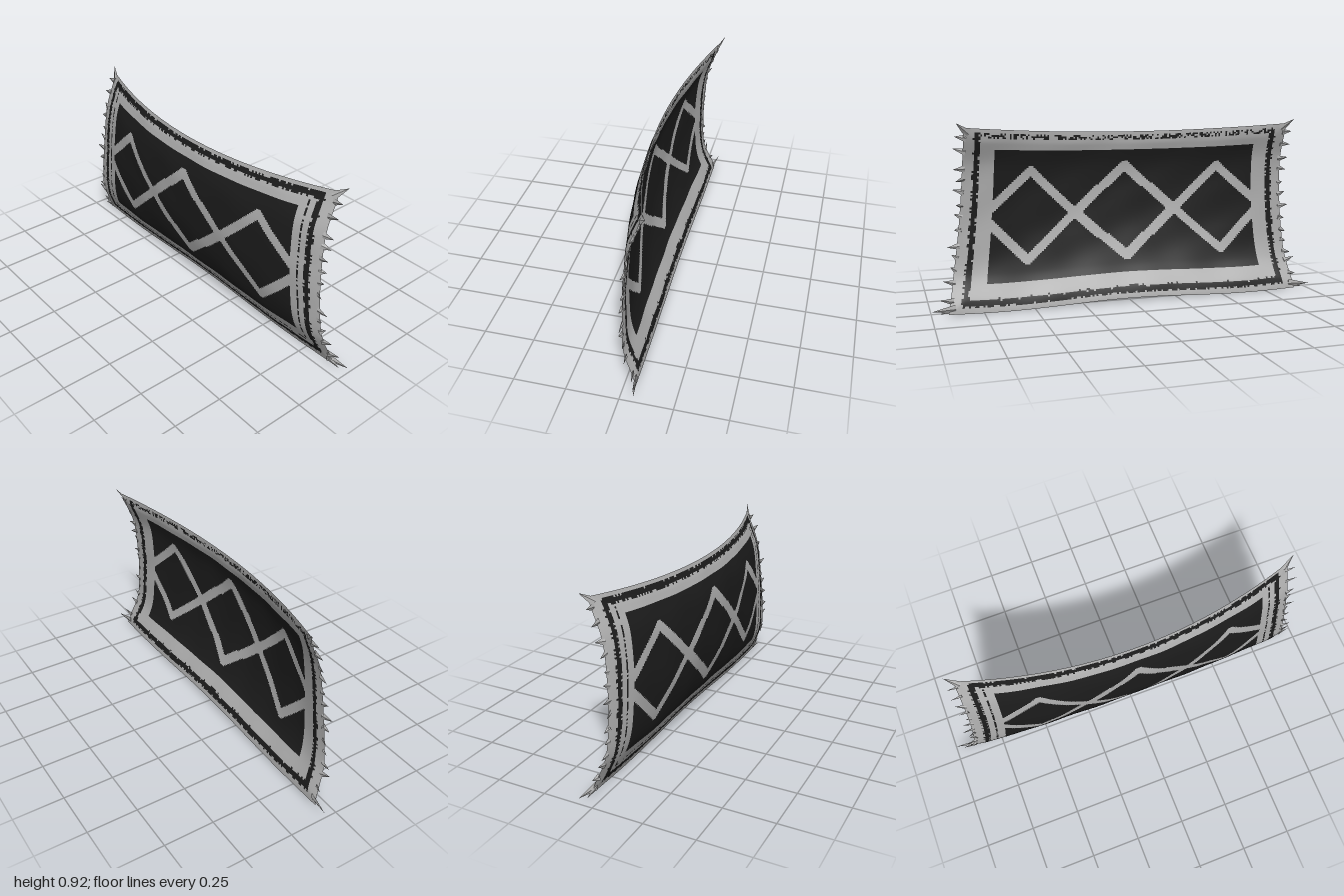
import * as THREE from 'three';

const lightWool = new THREE.MeshStandardMaterial({ color: 0xb0b0b0 });
lightWool.name = 'light wool';
const darkWool = new THREE.MeshStandardMaterial({ color: 0x1c1c1c });
darkWool.name = 'dark wool';

const NU = 184, NV = 100;

// Repeatable noise in 0..1
const noise = (a, b) => {
  const s = Math.sin(a * 12.9898 + b * 78.233) * 43758.5453;
  return s - Math.floor(s);
};

// Depth along the height, down the middle and down the two short edges
const depthCurve = (depths) =>
  new THREE.SplineCurve(depths.map((z, i) => new THREE.Vector2(i, z)));
const middleDepth = depthCurve([-0.05, 0.035, 0.08, 0.097, 0.092, 0.05]);
const edgeDepth = depthCurve([-0.055, 0.005, 0.012, 0.003, -0.02, -0.082]);

// Point on the billowing cloth: u is -1..1 across, v is 0..1 upward
function clothPoint(u, v, side = 0) {
  const bottom = 0.01 + 0.009 * Math.cos(4.5 * u);
  const top = 0.862 + 0.036 * u * u;
  const x = u * (0.83 + 0.09 * (1 - v) ** 2);
  const zm = middleDepth.getPoint(v).y, ze = edgeDepth.getPoint(v).y;
  const rim = Math.min(1, (1 - Math.abs(u)) * 14, v * 14, (1 - v) * 14);
  const wrinkle = 0.002 * Math.sin(17 * u + 9 * v) * Math.sin(13 * v - 5 * u);
  const z = zm + (ze - zm) * u * u + (side * 0.008 + wrinkle) * Math.max(0, rim);
  return new THREE.Vector3(x, bottom + v * (top - bottom), z);
}

// Diamond outline, du and dv measured from its centre
const onDiamond = (du, dv, a, b) =>
  Math.abs(Math.abs(du) / a + Math.abs(dv) / b - 1) < 0.14 && Math.abs(dv) < b * 1.1;

// Woven pattern: true where the wool is dark
function isDark(u, v, i, j, side) {
  const au = Math.abs(u);
  if (au < 0.82 && v > 0.145 && v < 0.895) {
    return !(onDiamond(u, v - 0.52, 0.315, 0.272) ||
      onDiamond(au - 0.59, v - 0.52, 0.275, 0.255));
  }
  const n = noise(i, j);
  // Ragged outer band
  const ragged = 0.011 + 0.011 * n;
  if (v > 0.04 && v < 0.975 && Math.abs(au - 0.922) < ragged) return true;
  if (au < 0.93) {
    if (Math.abs(v - 0.052) < ragged * 1.1) return true;
    if (Math.abs(v - 0.962) < ragged * (side > 0 ? 0.95 : 0.75)) return side > 0 || n > 0.45;
  }
  // Dotted inner line on the front only
  if (side > 0 && v > 0.09 && v < 0.93 && Math.abs(au - 0.862) < 0.0055) return n > 0.4;
  if (side > 0 && au < 0.86 && Math.abs(v - 0.095) < 0.006) return n > 0.5;
  return false;
}

// One face of the rug, its cells sorted into light and dark groups
function rugFace(side) {
  const positions = [], light = [], dark = [];
  for (let j = 0; j <= NV; j++) {
    for (let i = 0; i <= NU; i++) {
      positions.push(...clothPoint((2 * i) / NU - 1, j / NV, side).toArray());
    }
  }
  for (let j = 0; j < NV; j++) {
    for (let i = 0; i < NU; i++) {
      const a = j * (NU + 1) + i, b = a + 1, c = a + NU + 1, d = c + 1;
      const list = isDark((2 * (i + 0.5)) / NU - 1, (j + 0.5) / NV, i, j, side) ? dark : light;
      list.push(...(side > 0 ? [a, b, d, a, d, c] : [a, d, b, a, c, d]));
    }
  }
  const geometry = new THREE.BufferGeometry();
  geometry.setAttribute('position', new THREE.Float32BufferAttribute(positions, 3));
  geometry.setIndex([...light, ...dark]);
  geometry.addGroup(0, light.length, 0);
  geometry.addGroup(light.length, dark.length, 1);
  geometry.computeVertexNormals();
  const mesh = new THREE.Mesh(geometry, [lightWool, darkWool]);
  mesh.name = side > 0 ? 'rugFront' : 'rugBack';
  return mesh;
}

// Flattened pointed tuft running from a base point to a tip
function tuft(name, base, tip, radius) {
  const dir = tip.clone().sub(base);
  const geometry = new THREE.ConeGeometry(radius, dir.length(), 4);
  geometry.translate(0, dir.length() / 2, 0);
  geometry.scale(1, 1, 0.35);
  const mesh = new THREE.Mesh(geometry.toNonIndexed(), lightWool);
  mesh.geometry.computeVertexNormals();
  mesh.position.copy(base);
  mesh.quaternion.setFromUnitVectors(new THREE.Vector3(0, 1, 0), dir.normalize());
  mesh.name = name;
  return mesh;
}

// Tufts along one short edge, with longer ones at the corners
function fringe(s) {
  const group = new THREE.Group();
  group.name = s > 0 ? 'leftFringe' : 'rightFringe';
  const count = 13;
  for (let k = 0; k < count; k++) {
    const v = 0.06 + 0.89 * (k + 0.5 * noise(k, s)) / (count - 1) * 0.97;
    const base = clothPoint(s * 0.985, v);
    const reach = 0.03 + 0.035 * noise(k, s + 5);
    const tip = base.clone().add(new THREE.Vector3(
      s * reach, 0.035 * (noise(k, s + 9) - 0.4), 0.03 * (noise(k, s + 2) - 0.6)));
    group.add(tuft('edgeTuft', base, tip, 0.018));
  }
  group.add(tuft('topCornerTuft', clothPoint(s * 0.97, 0.97),
    new THREE.Vector3(s * 0.865, 0.92, -0.102), 0.022));
  group.add(tuft('bottomCornerTuft', clothPoint(s * 0.97, 0.03),
    new THREE.Vector3(s, 0.03, -0.066), 0.022));
  group.add(tuft('bottomCornerTuft', clothPoint(s * 0.97, 0.03),
    new THREE.Vector3(s * 0.96, 0.012, -0.05), 0.02));
  return group;
}

export function createModel() {
  const rug = new THREE.Group();
  rug.name = 'rug';
  rug.add(rugFace(1), rugFace(-1), fringe(1), fringe(-1));
  return rug;
}
